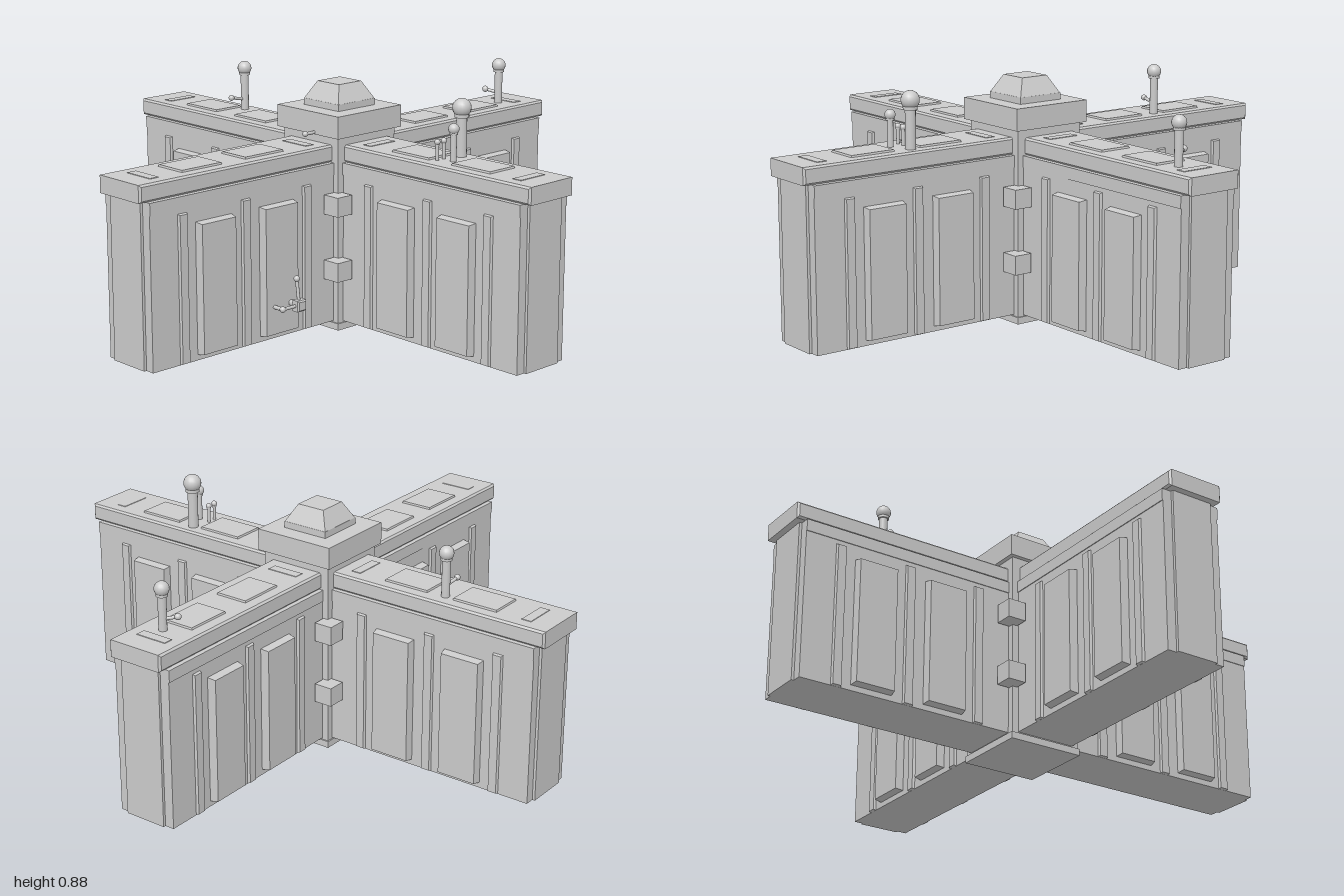
import * as THREE from 'three';

const grey = new THREE.MeshStandardMaterial({ color: 0xcccccc, flatShading: true });
const smooth = new THREE.MeshStandardMaterial({ color: 0xcccccc });

function add(parent, name, geometry, x = 0, y = 0, z = 0, material = grey) {
  const mesh = new THREE.Mesh(geometry, material);
  mesh.name = name;
  mesh.position.set(x, y, z);
  parent.add(mesh);
  return mesh;
}

// Box given by its minimum and maximum corners
function block(parent, name, [x0, y0, z0], [x1, y1, z1]) {
  return add(parent, name, new THREE.BoxGeometry(x1 - x0, y1 - y0, z1 - z0),
    (x0 + x1) / 2, (y0 + y1) / 2, (z0 + z1) / 2);
}

// Box with all edges chamfered by b, centred on the origin
function chamferBox(w, h, d, b) {
  const x = w / 2 - b, y = h / 2 - b;
  const s = new THREE.Shape([[-x, -y], [x, -y], [x, y], [-x, y]].map(p => new THREE.Vector2(...p)));
  const g = new THREE.ExtrudeGeometry(s, {
    depth: d - 2 * b, bevelThickness: b, bevelSize: b, bevelSegments: 1,
  });
  return g.translate(0, 0, -d / 2 + b);
}

// Plate with a sloped rim, rising along +z from z = 0
function raisedPlate(w, h, depth, rim) {
  const g = new THREE.BoxGeometry(w, h, depth).translate(0, 0, depth / 2);
  const p = g.attributes.position;
  for (let i = 0; i < p.count; i++) {
    if (p.getZ(i) > depth / 2) {
      p.setX(i, p.getX(i) - Math.sign(p.getX(i)) * rim);
      p.setY(i, p.getY(i) - Math.sign(p.getY(i)) * rim);
    }
  }
  g.computeVertexNormals();
  return g;
}

// Round rod between two points
function rod(parent, name, a, b, r) {
  const A = new THREE.Vector3(...a), B = new THREE.Vector3(...b);
  const mesh = add(parent, name, new THREE.CylinderGeometry(r, r, A.distanceTo(B), 14), 0, 0, 0, smooth);
  mesh.position.copy(A).lerp(B, 0.5);
  mesh.quaternion.setFromUnitVectors(new THREE.Vector3(0, 1, 0), B.sub(A).normalize());
  return mesh;
}

function ball(parent, name, [x, y, z], r) {
  return add(parent, name, new THREE.SphereGeometry(r, 16, 12), x, y, z, smooth);
}

// Post standing on a wall cap, with a collar and a round knob
function post(parent, name, x, z, top, r) {
  const g = new THREE.Group();
  g.name = name;
  const knob = r * 1.75;
  rod(g, 'postStem', [x, 0.66, z], [x, top - knob, z], r);
  rod(g, 'postCollar', [x, top - 2 * knob, z], [x, top - 1.4 * knob, z], r * 1.35);
  ball(g, 'postKnob', [x, top - knob, z], knob);
  parent.add(g);
}

// One wall arm, running along +x
function createArm() {
  const arm = new THREE.Group();
  arm.name = 'wallArm';
  block(arm, 'wallBody', [0, 0.03, -0.115], [0.967, 0.58, 0.115]);
  block(arm, 'wallTrim', [0.05, 0.57, -0.118], [0.967, 0.613, 0.118]);
  block(arm, 'endPanel', [0.95, 0.03, -0.08], [0.977, 0.613, 0.08]);
  add(arm, 'wallCap', chamferBox(0.9, 0.062, 0.218, 0.007), 0.55, 0.645, 0);

  for (const side of [1, -1]) {
    const face = new THREE.Group();
    face.name = side > 0 ? 'frontFacing' : 'rearFacing';
    face.rotation.y = side > 0 ? 0 : Math.PI;
    for (const x of [0.412, 0.695]) {
      add(face, 'sidePanel', raisedPlate(0.158, 0.465, 0.031, 0.005), side * x, 0.2825, 0.114);
    }
    for (const x of [0.27, 0.553, 0.83]) {
      add(face, 'pilasterStrip', raisedPlate(0.04, 0.525, 0.01, 0.004), side * x, 0.2925, 0.114);
    }
    arm.add(face);
  }

  // Low plates and slots on the cap
  for (const x of [0.417, 0.697]) {
    add(arm, 'topPlate', raisedPlate(0.176, 0.125, 0.008, 0.002), x, 0.675, 0).rotation.x = -Math.PI / 2;
  }
  for (const x of [0.203, 0.9]) {
    add(arm, 'topSlot', raisedPlate(0.038, 0.122, 0.003, 0.001), x, 0.675, 0).rotation.x = -Math.PI / 2;
  }
  return arm;
}

export function createModel() {
  const model = new THREE.Group();
  model.name = 'crossWall';

  for (let i = 0; i < 4; i++) {
    const arm = createArm();
    arm.rotation.y = i * Math.PI / 2;
    model.add(arm);
  }

  // Central pillar
  block(model, 'pillarFoot', [-0.145, 0, -0.145], [0.145, 0.025, 0.145]);
  block(model, 'pillar', [-0.14, 0.02, -0.14], [0.14, 0.72, 0.14]);
  block(model, 'pillarCap', [-0.157, 0.706, -0.157], [0.157, 0.786, 0.157]);
  block(model, 'finialBase', [-0.09, 0.78, -0.09], [0.09, 0.81, 0.09]);
  const finial = add(model, 'finial', raisedPlate(0.178, 0.178, 0.063, 0.034), 0, 0.81, 0);
  finial.rotation.x = -Math.PI / 2;

  // Corner blocks on the pillar
  for (const x of [-0.155, 0.155]) for (const z of [-0.155, 0.155]) for (const y of [0.233, 0.471]) {
    add(model, 'cornerBlock', new THREE.BoxGeometry(0.07, 0.07, 0.07), x, y, z);
  }

  // Posts on the caps
  post(model, 'frontTallPost', 0.06, 0.542, 0.88, 0.019);
  post(model, 'frontShortPost', -0.015, 0.575, 0.808, 0.011);
  for (const x of [-0.042, -0.01]) post(model, 'frontPeg', x, 0.525, 0.75, 0.006);
  post(model, 'leftPost', 0.84, 0.015, 0.85, 0.015);
  post(model, 'rearPost', 0.05, -0.572, 0.862, 0.015);

  // Small side levers by the posts
  rod(model, 'leftLeverArm', [0.84, 0.715, 0.015], [0.815, 0.727, -0.03], 0.006);
  ball(model, 'leftLeverKnob', [0.815, 0.727, -0.03], 0.012);
  rod(model, 'rearLeverArm', [0.05, 0.715, -0.572], [-0.012, 0.727, -0.578], 0.006);
  ball(model, 'rearLeverKnob', [-0.012, 0.727, -0.578], 0.011);
  rod(model, 'pillarLeverArm', [-0.15, 0.713, 0.035], [-0.2, 0.713, 0.035], 0.006);
  ball(model, 'pillarLeverKnob', [-0.2, 0.713, 0.035], 0.01);

  // Crank on the front of the right wall
  const crank = new THREE.Group();
  crank.name = 'wallCrank';
  add(crank, 'crankHub', chamferBox(0.04, 0.04, 0.036, 0.005), -0.373, 0.155, 0.187);
  rod(crank, 'crankAxle', [-0.373, 0.155, 0.13], [-0.373, 0.155, 0.185], 0.011);
  rod(crank, 'crankArm', [-0.373, 0.155, 0.187], [-0.45, 0.155, 0.187], 0.006);
  ball(crank, 'crankArmKnob', [-0.45, 0.155, 0.187], 0.011);
  rod(crank, 'crankHandle', [-0.45, 0.155, 0.187], [-0.45, 0.155, 0.145], 0.007);
  rod(crank, 'crankLever', [-0.373, 0.155, 0.187], [-0.373, 0.245, 0.175], 0.006);
  ball(crank, 'crankLeverKnob', [-0.373, 0.248, 0.175], 0.011);
  model.add(crank);

  return model;
}
